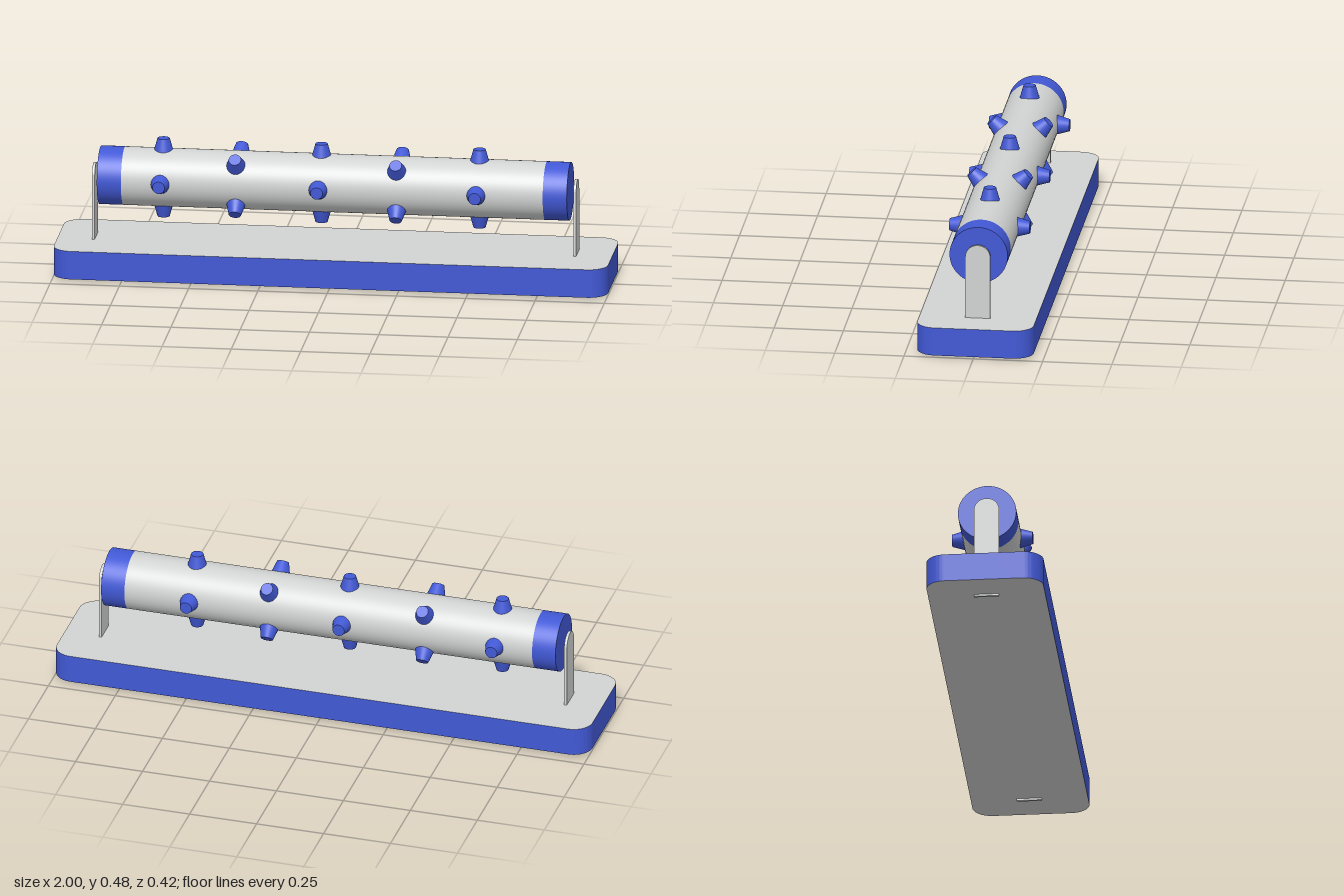
import * as THREE from 'three';
import { toCreasedNormals } from 'three/addons/utils/BufferGeometryUtils.js';

export function createModel() {
  const model = new THREE.Group();
  model.name = 'studdedRoller';

  const grey = new THREE.MeshStandardMaterial({ color: 0xd2d4d3 });
  grey.name = 'light grey';
  const blue = new THREE.MeshStandardMaterial({ color: 0x4259d6 });
  blue.name = 'blue';

  const add = (name, geometry, material, parent = model) => {
    const mesh = new THREE.Mesh(geometry, material);
    mesh.name = name;
    parent.add(mesh);
    return mesh;
  };
  const extrude = (shape, depth) => toCreasedNormals(
    new THREE.ExtrudeGeometry(shape, { depth, bevelEnabled: false, curveSegments: 16 }), 0.5);

  // Base: rounded slab with grey faces and a blue rim
  const w = 1, d = 0.21, r = 0.07;
  const slab = new THREE.Shape();
  slab.absarc(w - r, d - r, r, 0, Math.PI / 2);
  slab.absarc(-w + r, d - r, r, Math.PI / 2, Math.PI);
  slab.absarc(-w + r, -d + r, r, Math.PI, Math.PI * 1.5);
  slab.absarc(w - r, -d + r, r, Math.PI * 1.5, Math.PI * 2);
  slab.closePath();
  const base = add('base', extrude(slab, 0.104), [grey, blue]);
  base.rotation.x = -Math.PI / 2;
  base.position.y = 0.007;

  // Supports: thin upright plates with round tops, set through the base
  const axisY = 0.34, half = 0.045, thick = 0.01;
  const plate = new THREE.Shape();
  plate.moveTo(-half, 0);
  plate.lineTo(half, 0);
  plate.lineTo(half, axisY);
  plate.absarc(0, axisY, half, 0, Math.PI);
  plate.closePath();
  const plateGeometry = extrude(plate, thick).translate(0, 0, -thick / 2).rotateY(Math.PI / 2);
  for (const [name, x] of [['leftSupport', 0.867], ['rightSupport', -0.87]]) {
    add(name, plateGeometry, grey).position.x = x;
  }

  // Roller: grey tube between two blue end caps
  const roller = new THREE.Group();
  roller.name = 'roller';
  roller.position.set(-0.002, axisY, 0);
  model.add(roller);
  const radius = 0.105, end = 0.848, capLength = 0.087;
  const tubeLength = 2 * (end - capLength);
  add('rollerTube', new THREE.CylinderGeometry(radius, radius, tubeLength, 64, 1, true)
    .rotateZ(Math.PI / 2), grey, roller);
  const capGeometry = new THREE.CylinderGeometry(radius, radius, capLength, 64).rotateZ(Math.PI / 2);
  for (const side of [1, -1]) {
    add(side > 0 ? 'leftEndCap' : 'rightEndCap', capGeometry, blue, roller)
      .position.x = side * (end - capLength / 2);
  }

  // Studs: five rings of four tapered pegs, alternate rings turned by 45 degrees
  const studGeometry = new THREE.CylinderGeometry(0.022, 0.036, 0.05, 32).translate(0, 0.12, 0);
  [-0.62, -0.35, -0.05, 0.23, 0.52].forEach((x, ring) => {
    for (let i = 0; i < 4; i++) {
      const stud = add('stud', studGeometry, blue, roller);
      stud.position.x = x;
      stud.rotation.x = (i + (ring % 2) / 2) * Math.PI / 2;
    }
  });

  return model;
}
